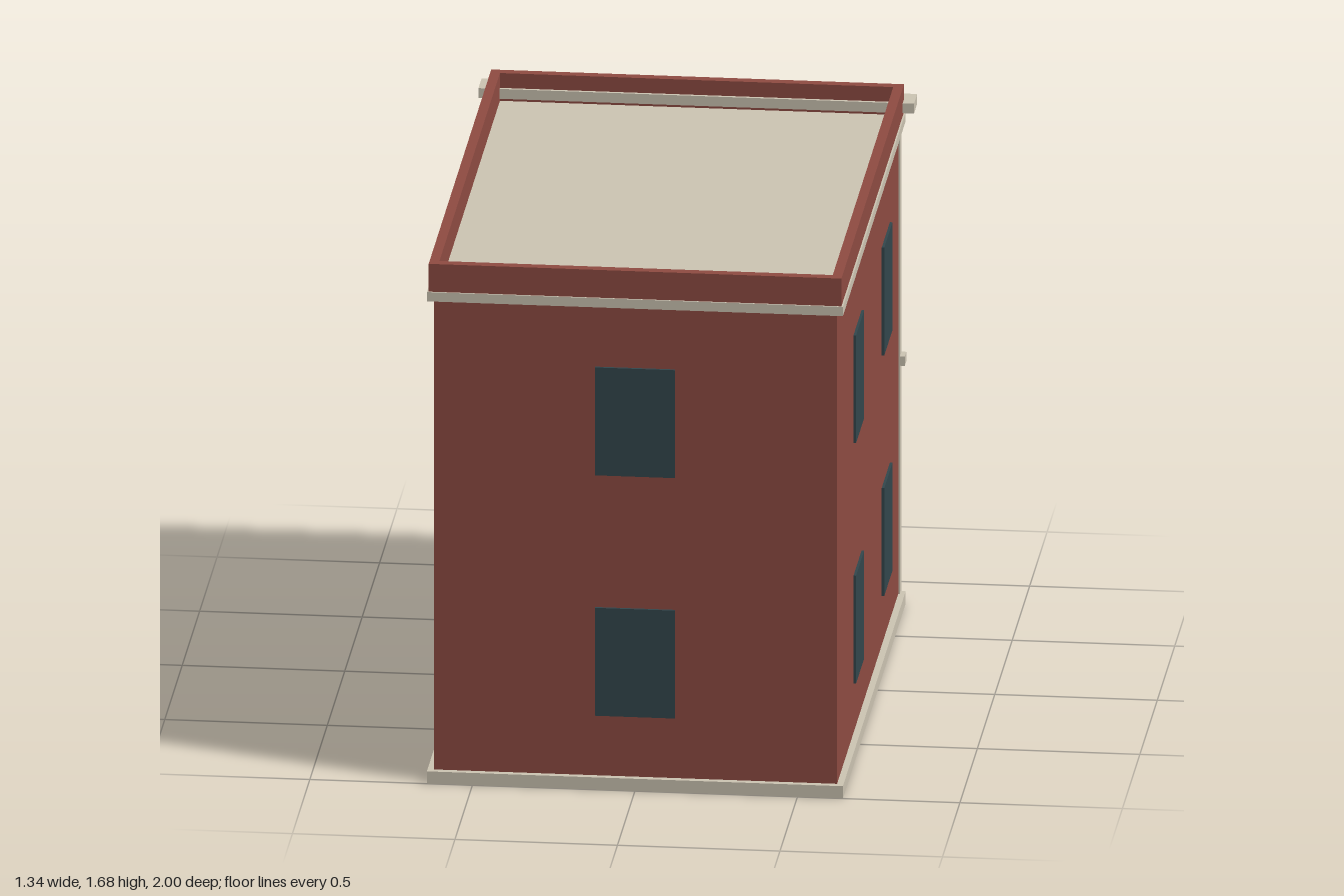
import * as THREE from 'three';

const mat = (name, color, side = THREE.FrontSide) => {
  const m = new THREE.MeshStandardMaterial({ color, side });
  m.name = name;
  return m;
};

export function createModel() {
  const brick = mat('brick red', 0x8f4b42);
  const stone = mat('pale stone', 0xcdc5b3);
  const glass = mat('slate glass', 0x33474d);
  const green = mat('green panel', 0x375a4e);
  const iron = mat('dark green iron', 0x264239);

  const house = new THREE.Group();
  house.name = 'house';

  // box given by its lower and upper limits on each axis
  const box = (name, m, x0, x1, y0, y1, z0, z1, parent = house) => {
    const mesh = new THREE.Mesh(new THREE.BoxGeometry(x1 - x0, y1 - y0, z1 - z0), m);
    mesh.position.set((x0 + x1) / 2, (y0 + y1) / 2, (z0 + z1) / 2);
    mesh.name = name;
    parent.add(mesh);
    return mesh;
  };
  const group = (name) => {
    const g = new THREE.Group();
    g.name = name;
    house.add(g);
    return g;
  };

  // main volume, plinth and roof slab
  box('walls', brick, -0.62, 0.62, 0.04, 1.565, -0.78, 0.98);
  box('plinth', stone, -0.64, 0.64, 0, 0.04, -0.8, 1);
  box('roofSlab', stone, -0.64, 0.64, 1.565, 1.595, -0.8, 1);

  // parapet around the roof
  const parapet = group('parapet');
  for (const s of [-1, 1]) {
    const x = s * 0.62;
    box('parapetSide', brick, x - 0.015, x + 0.015, 1.595, 1.685, -0.77, 0.965, parapet);
  }
  box('parapetFront', brick, -0.635, 0.635, 1.595, 1.685, 0.965, 0.995, parapet);
  box('parapetBack', brick, -0.635, 0.635, 1.595, 1.685, -0.8, -0.77, parapet);

  // plain windows on three sides, one row per storey
  for (const y of [0.24, 1.02]) {
    box('frontWindow', glass, -0.123, 0.123, y, y + 0.35, 0.992, 1);
    for (const s of [-1, 1]) {
      for (const z of [-0.305, 0.505]) {
        const x = s * 0.636;
        box('sideWindow', glass, x - 0.004, x + 0.004, y, y + 0.35, z - 0.117, z + 0.117);
      }
    }
  }

  // street facade trim
  box('cornice', stone, -0.67, 0.67, 1.605, 1.637, -0.85, -0.76);
  box('stringCourse', stone, -0.64, 0.64, 0.78, 0.81, -0.82, -0.775);
  for (const s of [-1, 1]) {
    const x = s * 0.6;
    box('pilaster', stone, x - 0.025, x + 0.025, 0.02, 1.55, -0.815, -0.775);
  }

  // outline of an opening, rectangular or round-headed
  const outline = (Type, w, y0, y1, arched) => {
    const p = new Type();
    p.moveTo(-w, y0);
    p.lineTo(w, y0);
    if (arched) {
      p.lineTo(w, y1 - w);
      p.absarc(0, y1 - w, w, 0, Math.PI, false);
    } else {
      p.lineTo(w, y1);
      p.lineTo(-w, y1);
    }
    p.closePath();
    return p;
  };
  const extrude = (name, m, shape, z0, z1, parent) => {
    const geo = new THREE.ExtrudeGeometry(shape, { depth: z1 - z0, bevelEnabled: false, curveSegments: 16 });
    const mesh = new THREE.Mesh(geo, m);
    mesh.position.z = z0;
    mesh.name = name;
    parent.add(mesh);
  };

  // framed opening with panel and optional glazing bars
  const opening = (name, x, w, y0, y1, { arched = false, barY = 0, sill = 0.02 } = {}) => {
    const g = group(name);
    g.position.x = x;
    const t = 0.022;
    const frame = outline(THREE.Shape, w, y0, y1, arched);
    frame.holes.push(outline(THREE.Path, w - t, y0 + sill, y1 - t, arched));
    extrude('frame', stone, frame, -0.812, -0.775, g);
    extrude('panel', green, outline(THREE.Shape, w - t, y0 + sill, y1 - t, arched), -0.803, -0.775, g);
    if (barY) {
      box('uprightBar', iron, -0.008, 0.008, y0 + sill, y1 - t, -0.81, -0.803, g);
      box('crossBar', iron, t - w, w - t, barY - 0.008, barY + 0.008, -0.809, -0.803, g);
    }
  };
  for (const s of [-1, 1]) {
    opening('balconyWindow', s * 0.355, 0.147, 0.95, 1.47, { barY: 1.155 });
    opening('archedWindow', s * 0.355, 0.147, 0.14, 0.67, { arched: true });
  }
  opening('door', 0, 0.12, 0.02, 0.55, { barY: 0.275, sill: 0.004 });

  // balcony slab and railing
  box('balconySlab', stone, -0.42, 0.42, 0.775, 0.805, -1, -0.78);
  const railing = group('balconyRailing');
  const r = 0.007;
  for (const y of [0.87, 0.995]) {
    box('frontRail', iron, -0.43, 0.43, y - r, y + r, -0.992, -0.978, railing);
    for (const s of [-1, 1]) {
      const x = s * 0.422;
      box('sideRail', iron, x - r, x + r, y - r, y + r, -0.978, -0.78, railing);
    }
  }
  for (const s of [-1, 1]) {
    const x = s * 0.422;
    box('railPost', iron, x - 0.008, x + 0.008, 0.8, 1.003, -0.993, -0.977, railing);
  }

  return house;
}
